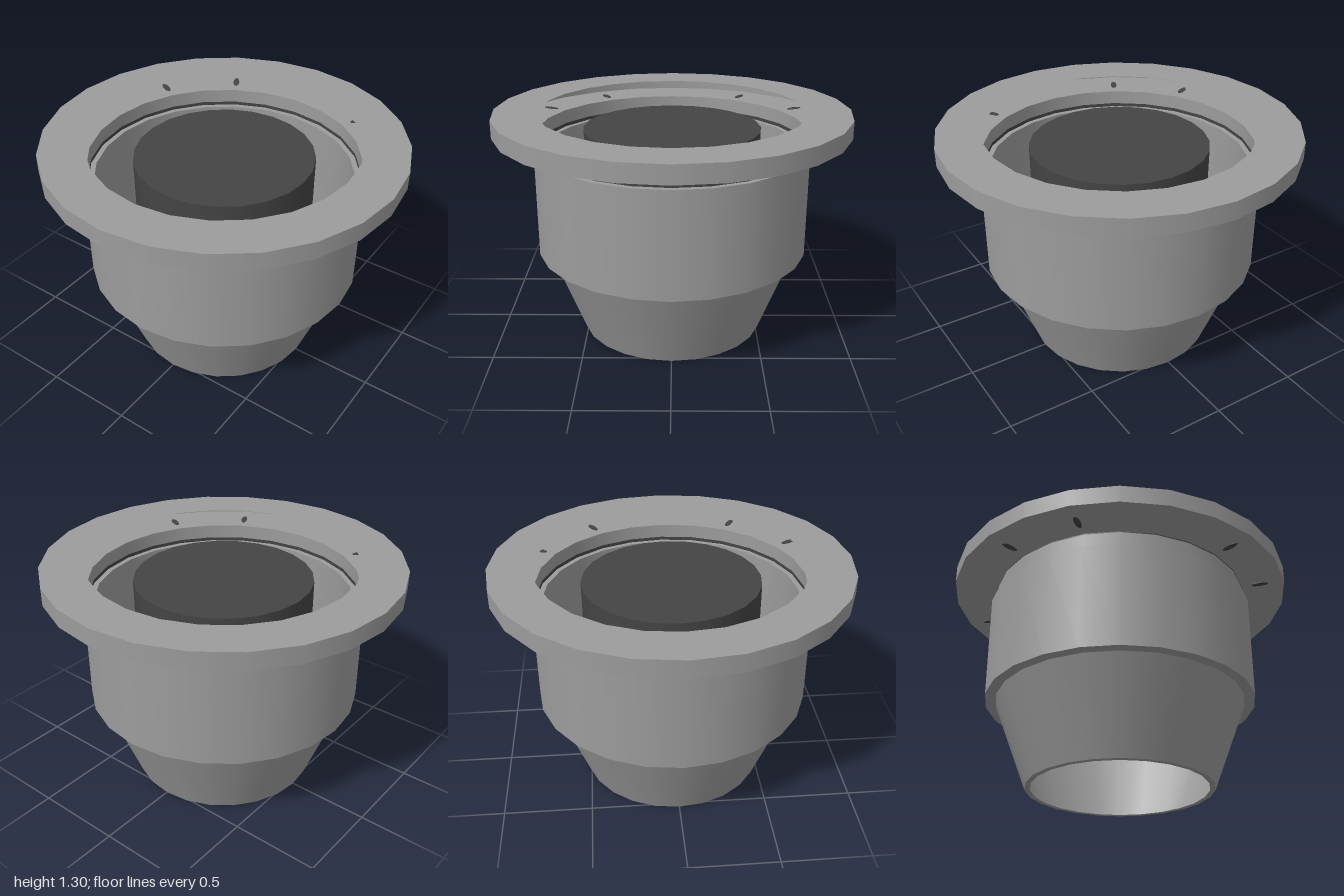
import * as THREE from 'three';

const SIDES = 24;

export function createModel() {
  const root = new THREE.Group();
  const housingGrey = new THREE.MeshStandardMaterial({ color: 0x9c9c9c, side: THREE.DoubleSide });
  const darkGrey = new THREE.MeshStandardMaterial({ color: 0x444444, side: THREE.DoubleSide });
  housingGrey.name = 'housingGrey';
  darkGrey.name = 'darkGrey';

  // Revolves a profile of [radius, y]; each span is its own shell so edges stay sharp
  function shell(name, profile, material) {
    const part = new THREE.Group();
    part.name = name;
    for (let i = 0; i < profile.length - 1; i++) {
      const span = [profile[i], profile[i + 1]].map(([r, y]) => new THREE.Vector2(r, y));
      const mesh = new THREE.Mesh(new THREE.LatheGeometry(span, SIDES), material);
      mesh.name = `${name}Face${i + 1}`;
      part.add(mesh);
    }
    root.add(part);
  }

  // Hollow flange, open on its inner edge
  shell('topFlange', [[0.75, 1.2], [1, 1.2], [1, 1.3], [0.75, 1.3]], housingGrey);
  // Thin neck joining flange and body
  shell('neck', [[0.75, 1.12], [0.75, 1.2]], housingGrey);
  shell('neckSeal', [[0.75, 1.1], [0.75, 1.12]], darkGrey);
  shell('flangeSeal', [[0.751, 1.193], [0.751, 1.2]], darkGrey);
  // Thick-walled body
  shell('body', [[0.72, 0.5], [0.78, 0.5], [0.78, 1.1], [0.72, 1.1], [0.72, 0.5]], housingGrey);
  // Tapered lower shell with a narrow lip
  shell('taperedBase', [[0.5, 0], [0.53, 0], [0.72, 0.5]], housingGrey);

  // Solid core hanging in the middle
  const core = new THREE.Mesh(new THREE.CylinderGeometry(0.5, 0.5, 0.79, SIDES), darkGrey);
  core.name = 'core';
  core.position.y = 0.805;
  root.add(core);

  // Four pairs of slots in the flange's lower plate
  const slotGeometry = new THREE.CylinderGeometry(1, 1, 0.006, 10).scale(0.05, 1, 0.018);
  for (let quarter = 0; quarter < 4; quarter++) {
    for (const offset of [30, 60]) {
      const angle = THREE.MathUtils.degToRad(quarter * 90 + offset);
      const slot = new THREE.Mesh(slotGeometry, darkGrey);
      slot.name = 'flangeSlot';
      slot.position.set(0.857 * Math.cos(angle), 1.2, 0.857 * Math.sin(angle));
      slot.rotation.y = -angle;
      root.add(slot);
    }
  }
  return root;
}
